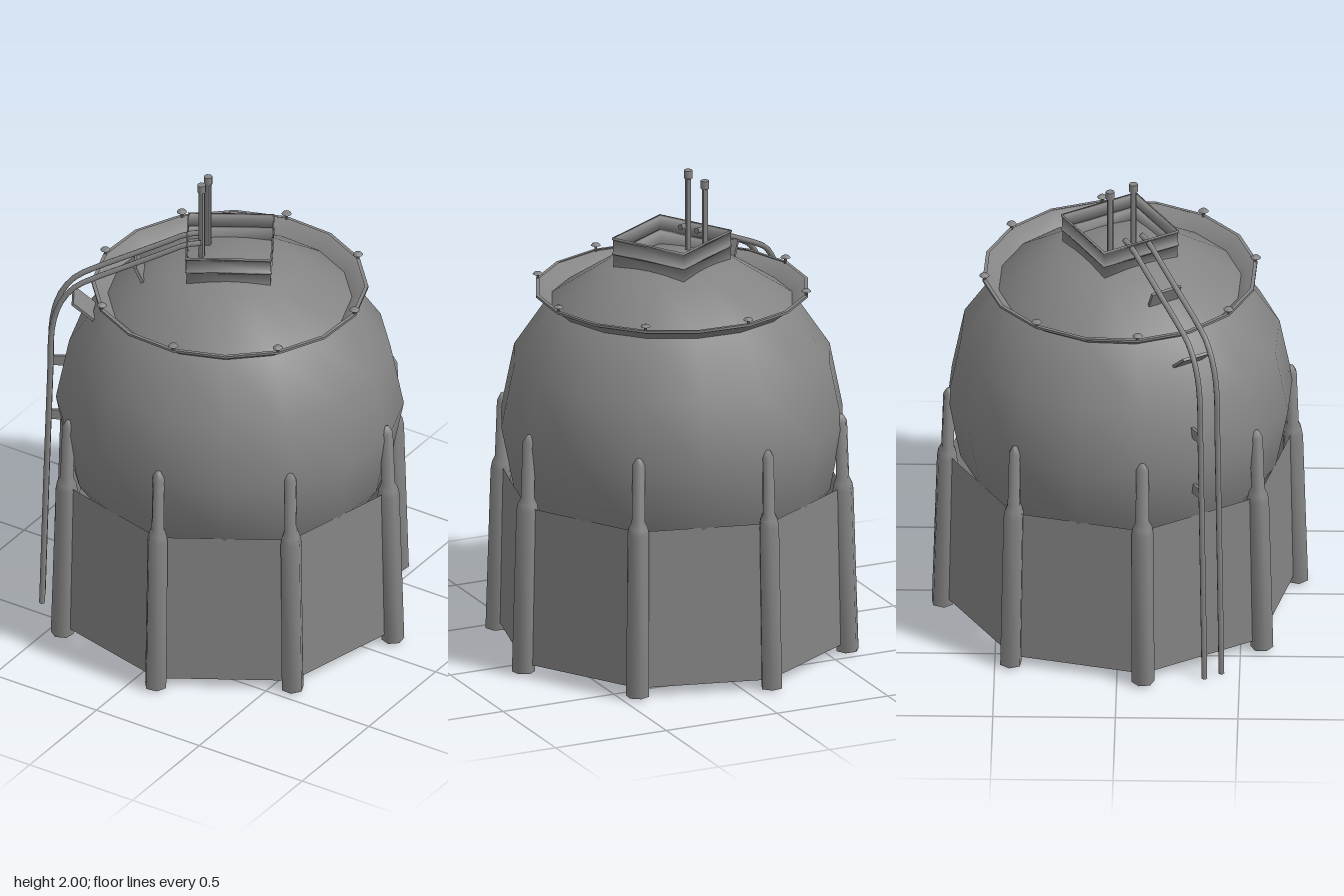
import * as THREE from 'three';
import { toCreasedNormals } from 'three/addons/utils/BufferGeometryUtils.js';

const RAD = Math.PI / 180;
const TURN = 8.5 * RAD;      // heading of the first post
const LADDER = -59 * RAD;    // heading of the pipe run
const TANK_Y = 0.97, TANK_R = 0.71;
const PIPE_R = 0.012;

const grey = new THREE.MeshStandardMaterial({ color: 0x848484 });
const thin = new THREE.MeshStandardMaterial({ color: 0x848484, side: THREE.DoubleSide });

function add(parent, name, geometry, material = grey) {
  const mesh = new THREE.Mesh(geometry, material);
  mesh.name = name;
  parent.add(mesh);
  return mesh;
}

// Turned profile; edges sharper than the crease angle stay hard
function lathe(points, sides, crease) {
  const g = new THREE.LatheGeometry(points.map(([r, y]) => new THREE.Vector2(r, y)), sides);
  return toCreasedNormals(g, crease);
}

// Group turned to face a heading, so its +z points outward
function heading(parent, name, angle) {
  const g = new THREE.Group();
  g.name = name;
  g.rotation.y = angle;
  parent.add(g);
  return g;
}

export function createModel() {
  const model = new THREE.Group();
  model.name = 'sphericalStorageTank';

  // Spherical vessel
  const tank = add(model, 'tankSphere', new THREE.SphereGeometry(TANK_R, 16, 8));
  tank.position.y = TANK_Y;
  tank.rotation.y = TURN;

  // Eight-sided skirt, open above and below
  const skirt = add(model, 'skirt', lathe([[0.722, 0.042], [0.71, 0.712]], 8, 0.6), thin);
  skirt.rotation.y = TURN;

  // Six-sided support posts, flat side outward, leaning slightly inward
  const postGeometry = lathe([
    [0, 0], [0.047, 0], [0.045, 0.69], [0.04, 0.72], [0.028, 0.745],
    [0.026, 0.985], [0.012, 1.012], [0, 1.018],
  ], 6, 1.2).rotateY(Math.PI / 6);
  // Mushroom-shaped nozzles on the collar
  const nozzleGeometry = lathe([
    [0, 0], [0.006, 0], [0.006, 0.022], [0.021, 0.025], [0.014, 0.033], [0, 0.036],
  ], 10, 1);
  for (let i = 0; i < 8; i++) {
    const arm = heading(model, 'supportBay', TURN + i * 45 * RAD);
    const post = add(arm, 'supportPost', postGeometry);
    post.position.set(0, 0.011, 0.73);
    post.rotation.x = -0.028;
    add(arm, 'sprayNozzle', nozzleGeometry).position.set(0, 1.522, 0.558);
  }

  // Flared collar with a narrow lip
  const collar = add(model, 'collar',
    lathe([[0.495, 1.472], [0.553, 1.518], [0.565, 1.52], [0.565, 1.53], [0.55, 1.53]], 16, 0.6), thin);
  collar.rotation.y = TURN;

  // Open square housing on the crown, with a step and a rim
  const housing = add(model, 'topHousing', lathe([
    [0.243, 1.63], [0.243, 1.686], [0.25, 1.686], [0.25, 1.694],
    [0.245, 1.694], [0.245, 1.748], [0.25, 1.748], [0.25, 1.757], [0.242, 1.757],
  ], 4, 1.65), thin);
  housing.rotation.y = -14 * RAD;

  // Vent masts with caps
  for (const [x, z, top] of [[-0.13, -0.038, 1.98], [-0.1, 0.057, 2]]) {
    const base = 1.64;
    const mast = add(model, 'ventMast', lathe([
      [0, base], [0.013, base], [0.013, top - 0.036], [0.018, top - 0.034], [0.018, top], [0, top],
    ], 8, 0.9));
    mast.position.set(x, 0, z);
  }

  // Pair of pipes running from the crown down to the ground
  const run = heading(model, 'pipeRun', LADDER);
  const path = [
    [0.115, 1.745], [0.18, 1.735], [0.25, 1.703], [0.4, 1.635], [0.56, 1.563], [0.63, 1.523],
    [0.677, 1.468], [0.708, 1.4], [0.727, 1.3], [0.731, 1.15], [0.748, 0.6], [0.765, 0.002],
  ];
  for (const side of [-0.043, 0.037]) {
    const curve = new THREE.CatmullRomCurve3(path.map(([r, y]) => new THREE.Vector3(side, y, r)), false, 'centripetal');
    add(run, 'pipe', new THREE.TubeGeometry(curve, 48, PIPE_R, 8));
    for (const [r, y] of [path[0], path[path.length - 1]]) {
      const cap = add(run, 'pipeEnd', new THREE.CircleGeometry(PIPE_R, 8), thin);
      cap.position.set(side, y, r);
      cap.rotation.x = y < 1 ? Math.PI / 2 : Math.PI;
    }
  }

  // Sloping plates holding both pipes off the vessel: [outer r, y, inner r, y]
  for (const [r1, y1, r0, y0] of [[0.385, 1.635, 0.355, 1.565], [0.64, 1.455, 0.555, 1.38]]) {
    const plate = add(run, 'pipeBracket',
      new THREE.BoxGeometry(0.135, 0.012, Math.hypot(r1 - r0, y1 - y0)));
    plate.position.set(-0.003, (y0 + y1) / 2, (r0 + r1) / 2);
    plate.rotation.x = -Math.atan2(y1 - y0, r1 - r0);
  }

  // Upright tabs joining the rear pipe to the side of the vessel
  for (const y of [1.12, 0.86]) {
    add(run, 'pipeTab', new THREE.BoxGeometry(0.012, 0.045, 0.09)).position.set(-0.043, y, 0.695);
  }

  return model;
}
